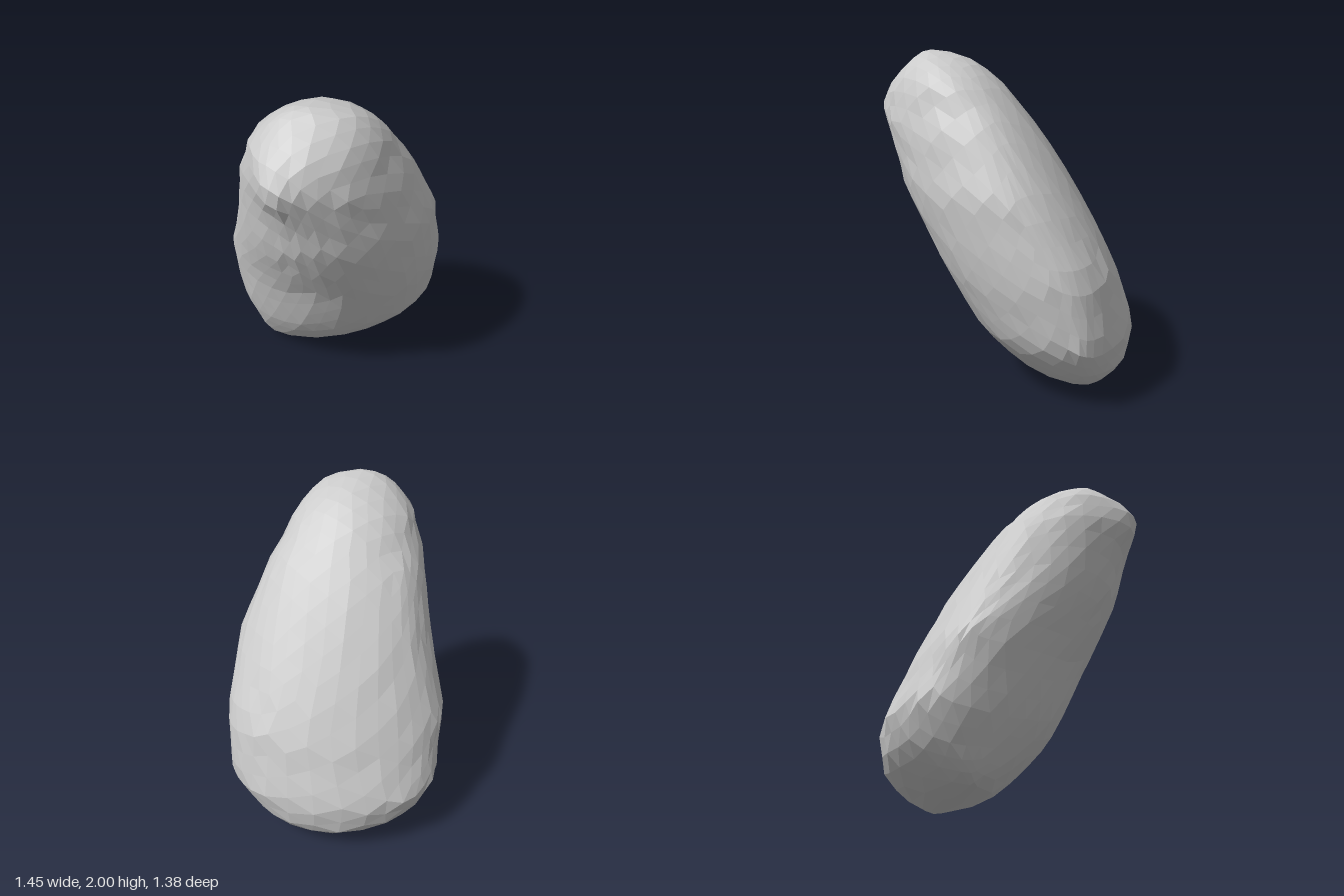
import * as THREE from 'three';

// Horizontal slices of the stone: height, then its reach along eight compass
// directions (x+, x+z+, z+, x-z+, x-, x-z-, z-, x+z-), measured from the origin.
const SLICES = [
  [0.0, 0.255, -0.011, -0.27, -0.371, -0.255, 0.011, 0.27, 0.371],
  [0.04, 0.43, 0.23, -0.05, 0.02, 0.25, 0.42, 0.42, 0.48],
  [0.1, 0.53, 0.33, 0.06, 0.08, 0.31, 0.49, 0.52, 0.57],
  [0.2, 0.63, 0.45, 0.18, 0.17, 0.36, 0.56, 0.63, 0.64],
  [0.4, 0.73, 0.61, 0.36, 0.32, 0.44, 0.65, 0.69, 0.67],
  [0.8, 0.69, 0.65, 0.54, 0.50, 0.53, 0.64, 0.55, 0.55],
  [1.2, 0.50, 0.61, 0.66, 0.72, 0.63, 0.51, 0.37, 0.32],
  [1.6, 0.24, 0.46, 0.69, 0.84, 0.69, 0.41, 0.15, 0.04],
  [1.7, 0.16, 0.39, 0.68, 0.83, 0.70, 0.34, 0.07, -0.05],
  [1.8, 0.07, 0.36, 0.66, 0.80, 0.68, 0.31, 0.0, -0.13],
  [1.95, -0.13, 0.22, 0.56, 0.66, 0.55, 0.15, -0.2, -0.33],
  [2.0, -0.40, 0.0, 0.40, 0.566, 0.40, 0.0, -0.40, -0.566],
];

// Each slice is kept as the first waves of its reach around the compass
const rings = SLICES.map(([y, ...reach]) => ({
  t: Math.acos(1 - y) / Math.PI,
  waves: [0, 1, 2, 3].map((k) => {
    let c = 0, s = 0;
    reach.forEach((r, j) => {
      c += r * Math.cos((k * j * Math.PI) / 4);
      s += r * Math.sin((k * j * Math.PI) / 4);
    });
    const share = k === 0 ? 8 : 4;
    return [c / share, s / share];
  }),
}));

// Outline point of a slice where its side faces the given angle
function outline({ waves }, angle) {
  let h = 0, slope = 0;
  waves.forEach(([c, s], k) => {
    const cos = Math.cos(k * angle), sin = Math.sin(k * angle);
    h += c * cos + s * sin;
    slope += k * (s * cos - c * sin);
  });
  const cos = Math.cos(angle), sin = Math.sin(angle);
  return new THREE.Vector2(h * cos - slope * sin, h * sin + slope * cos);
}

// Blunt nose that sticks out near the top
const NOSE = new THREE.Vector3(-0.67, 1.68, 0.5);

// Moves a point of the unit sphere onto the stone
function shape(p) {
  const t = Math.acos(THREE.MathUtils.clamp(-p.y, -1, 1)) / Math.PI;
  const angle = Math.atan2(p.z, p.x);
  let i = 0;
  while (i < rings.length - 2 && rings[i + 1].t < t) i++;
  const lo = rings[i], hi = rings[i + 1];
  const s = THREE.MathUtils.clamp((t - lo.t) / (hi.t - lo.t), 0, 1);
  const q = outline(lo, angle).lerp(outline(hi, angle), s);
  // slight unevenness that fades out towards both ends
  const bump = 0.006 * Math.sin(Math.PI * t) * Math.sin(17 * p.x + 5 * p.y) * Math.sin(19 * p.z - 13 * p.y);
  const v = new THREE.Vector3(q.x + bump * Math.cos(angle), 1 - Math.cos(Math.PI * t), q.y + bump * Math.sin(angle));
  const push = 0.07 * Math.exp(-v.distanceToSquared(NOSE) / 0.02);
  v.x -= push * 0.8;
  v.z += push * 0.6;
  return v;
}

export function createModel() {
  const group = new THREE.Group();
  group.name = 'stone';

  // Faceted boulder, leaning forward and to its right
  const geometry = new THREE.IcosahedronGeometry(1, 7);
  const pos = geometry.attributes.position;
  const p = new THREE.Vector3();
  for (let i = 0; i < pos.count; i++) {
    const v = shape(p.fromBufferAttribute(pos, i).normalize());
    pos.setXYZ(i, v.x, v.y, v.z);
  }
  geometry.computeVertexNormals();

  const boulder = new THREE.Mesh(geometry, new THREE.MeshStandardMaterial({ color: 0xcccccc, flatShading: true }));
  boulder.name = 'boulder';
  group.add(boulder);
  return group;
}
